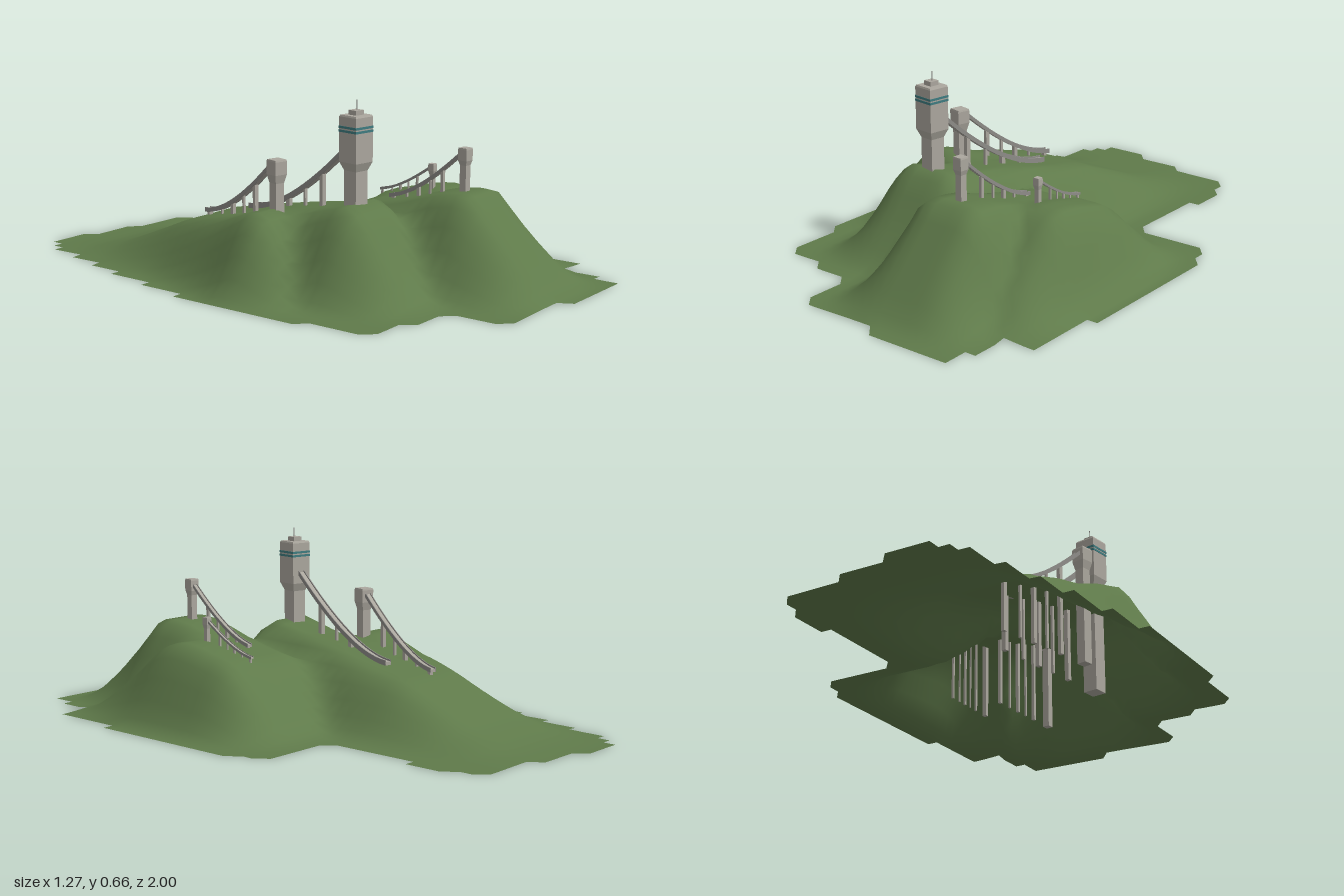
import * as THREE from 'three';

const mat = (color, extra = {}) => new THREE.MeshStandardMaterial({ color, ...extra });
const grass = mat(0x5f7a4a, { side: THREE.DoubleSide });
const concrete = mat(0xaba79e, { flatShading: true });
const steel = mat(0x8e8c88, { flatShading: true });
const glass = mat(0x3f7c80, { flatShading: true });

function add(parent, name, geometry, material, x = 0, y = 0, z = 0) {
  const mesh = new THREE.Mesh(geometry, material);
  mesh.name = name;
  mesh.position.set(x, y, z);
  parent.add(mesh);
  return mesh;
}

// Linear interpolation through [key, value] pairs with descending keys
function lerpTable(table, k) {
  if (k >= table[0][0]) return table[0][1];
  for (let i = 1; i < table.length; i++) {
    const [k0, v0] = table[i - 1], [k1, v1] = table[i];
    if (k >= k1) return v0 + (v1 - v0) * (k0 - k) / (k0 - k1);
  }
  return table[table.length - 1][1];
}

// Each spur: centre line x(z), crest height y(z), half width of crest and of foot
const tail = [[-0.34, 0.175], [-0.5, 0.11], [-0.65, 0.05], [-0.8, 0.012], [-0.93, 0]];
const drop = [[0, 0.15], [-0.1, 0.05], [-0.16, 0.015], [-0.22, 0]];
const spurs = [
  { axis: [[0.35, -0.19], [-0.2, -0.12], [-0.9, -0.08]], crest: 0.08, foot: 0.33,
    height: [[0.69, 0], [0.62, 0.025], [0.5, 0.15], [0.4, 0.28], [0.35, 0.31], [0.2, 0.277], [0, 0.245], [-0.2, 0.2], ...tail] },
  { axis: [[0.06, -0.36], [-0.34, -0.26], [-0.9, -0.2]], crest: 0.05, foot: 0.27,
    height: [[0.36, 0], [0.3, 0.025], [0.2, 0.14], [0.11, 0.26], [0.06, 0.275], [-0.1, 0.225], ...tail] },
  { axis: [[0.57, 0.13], [0.2, 0.155]], crest: 0.08, foot: 0.33,
    height: [[0.96, 0], [0.9, 0.035], [0.62, 0.33], [0.5, 0.318], [0.35, 0.275], [0.1, 0.225], ...drop] },
  { axis: [[0.3, 0.33]], crest: 0.05, foot: 0.27,
    height: [[0.8, 0], [0.72, 0.03], [0.55, 0.17], [0.42, 0.275], [0.36, 0.287], [0.28, 0.28], [0.1, 0.235], ...drop] },
];

function groundHeight(x, z) {
  return Math.max(...spurs.map((s) => {
    const d = Math.abs(x - lerpTable(s.axis, z));
    return lerpTable(s.height, z) * (1 - THREE.MathUtils.smoothstep(d, s.crest, s.foot));
  }));
}

// Ground extent: from each z on, the first and last x of the grid
const extent = [
  [-1, -0.35, -0.18], [-0.955, -0.39, 0.02], [-0.91, -0.43, 0.22], [-0.86, -0.43, 0.265],
  [-0.77, -0.47, 0.305], [-0.62, -0.51, 0.305], [-0.56, -0.51, 0.265], [-0.47, -0.55, 0.265],
  [-0.29, -0.59, 0.265], [-0.24, -0.59, 0.55], [-0.2, -0.59, 0.59], [-0.1, -0.635, 0.63],
  [0.42, -0.59, 0.63], [0.55, -0.59, 0.59], [0.66, -0.55, 0.59], [0.71, -0.39, 0.59],
  [0.755, -0.22, 0.59], [0.8, -0.22, 0.47], [0.945, -0.18, 0.43], [0.995, 0.1, 0.43],
];

// Open terrain grid with a stepped border
function groundGeometry() {
  const nx = 32, nz = 43, pos = [], index = [], inside = [];
  for (let j = 0; j <= nz; j++) {
    const z = -1 + 2 * j / nz;
    const [, x0, x1] = extent.filter((r) => r[0] <= z + 0.022).pop();
    for (let i = 0; i <= nx; i++) {
      const x = -0.633 + 1.266 * i / nx;
      pos.push(x, groundHeight(x, z), z);
      inside.push(x > x0 - 0.019 && x < x1 + 0.019);
    }
  }
  const tri = (a, b, c) => { if (inside[a] && inside[b] && inside[c]) index.push(a, b, c); };
  for (let j = 0; j < nz; j++) for (let i = 0; i < nx; i++) {
    const a = j * (nx + 1) + i, b = a + 1, c = a + nx + 1, d = c + 1;
    tri(a, c, d);
    tri(a, d, b);
  }
  const g = new THREE.BufferGeometry();
  g.setAttribute('position', new THREE.Float32BufferAttribute(pos, 3));
  g.setIndex(index);
  g.computeVertexNormals();
  return g;
}

// Square tower turned from [half width, y] points
function squareTower(profile) {
  const pts = profile.map(([w, y]) => new THREE.Vector2(w * Math.SQRT2, y));
  return new THREE.LatheGeometry(pts, 4, Math.PI / 4).toNonIndexed();
}

// Strip following a side curve, extruded across the track
function strip(curve, low, high, width) {
  const pts = curve.getPoints(16);
  const outline = [...pts.map((p) => new THREE.Vector2(p.x, p.y + low)),
    ...pts.reverse().map((p) => new THREE.Vector2(p.x, p.y + high))];
  const g = new THREE.ExtrudeGeometry(new THREE.Shape(outline), { depth: width, bevelEnabled: false });
  return g.translate(0, 0, -width / 2).rotateY(Math.PI / 2);
}

// One jump: tower at (x, z), in-run to (endX, endZ)
function skiJump(name, o) {
  const jump = new THREE.Group();
  jump.name = name;
  jump.position.set(o.x, 0, o.z);
  const dx = o.endX - o.x, dz = o.endZ - o.z, length = Math.hypot(dx, dz);
  jump.rotation.y = Math.atan2(-dx, -dz);

  const s = o.shaft / 2, h = o.head / 2;
  add(jump, 'tower', squareTower([[0, 0], [s, 0], [s, o.flare[0]], [h, o.flare[1]],
    [h, o.top - 0.006], [h * 0.93, o.top], [0, o.top]]), concrete);

  // In-run track with side walls
  const p0 = new THREE.Vector2(h * 0.8, o.rampTop), p2 = new THREE.Vector2(length, o.rampEnd);
  const p1 = new THREE.Vector2(length * 0.63, o.rampBend);
  const curve = new THREE.QuadraticBezierCurve(p0, p1, p2);
  add(jump, 'inRunDeck', strip(curve, -o.width * 0.5, 0, o.width), concrete);
  for (const side of [-1, 1]) {
    add(jump, 'inRunWall', strip(curve, -o.width * 0.5, o.width * 0.25, o.width * 0.14),
      steel, side * o.width * 0.5, 0, 0);
  }

  // Posts under the track
  [0.22, 0.38, 0.54, 0.72, 0.95].forEach((t, i) => {
    const p = curve.getPoint(t), w = o.width * (i % 2 ? 0.4 : 0.65), top = p.y - o.width * 0.3;
    add(jump, 'post', new THREE.BoxGeometry(w, top, w), concrete, 0, top / 2, -p.x);
  });
  return jump;
}

export function createModel() {
  const model = new THREE.Group();
  model.name = 'skiJumpHills';
  add(model, 'ground', groundGeometry(), grass);

  const large = skiJump('largeJump', { x: -0.197, z: 0.328, endX: -0.118, endZ: -0.2,
    shaft: 0.056, head: 0.08, flare: [0.42, 0.45], top: 0.61,
    rampTop: 0.5, rampBend: 0.225, rampEnd: 0.218, width: 0.025 });
  // Window bands, roof hut and mast of the large tower
  for (const y of [0.556, 0.569]) {
    add(large, 'windowBand', new THREE.BoxGeometry(0.083, 0.008, 0.083), glass, 0, y, 0);
  }
  add(large, 'roofHut', new THREE.BoxGeometry(0.036, 0.02, 0.036), concrete, 0, 0.616, 0);
  add(large, 'mast', new THREE.CylinderGeometry(0.0015, 0.0015, 0.04, 6), steel, 0.004, 0.64, 0);

  model.add(large,
    skiJump('mediumJump', { x: -0.296, z: 0.065, endX: -0.2, endZ: -0.34,
      shaft: 0.036, head: 0.05, flare: [0.36, 0.39], top: 0.442,
      rampTop: 0.425, rampBend: 0.21, rampEnd: 0.197, width: 0.022 }),
    skiJump('smallJump', { x: 0.128, z: 0.557, endX: 0.153, endZ: 0.23,
      shaft: 0.026, head: 0.036, flare: [0.415, 0.432], top: 0.476,
      rampTop: 0.457, rampBend: 0.285, rampEnd: 0.265, width: 0.018 }),
    skiJump('trainingJump', { x: 0.271, z: 0.33, endX: 0.274, endZ: 0.1,
      shaft: 0.016, head: 0.023, flare: [0.33, 0.345], top: 0.371,
      rampTop: 0.358, rampBend: 0.262, rampEnd: 0.252, width: 0.012 }));
  return model;
}
